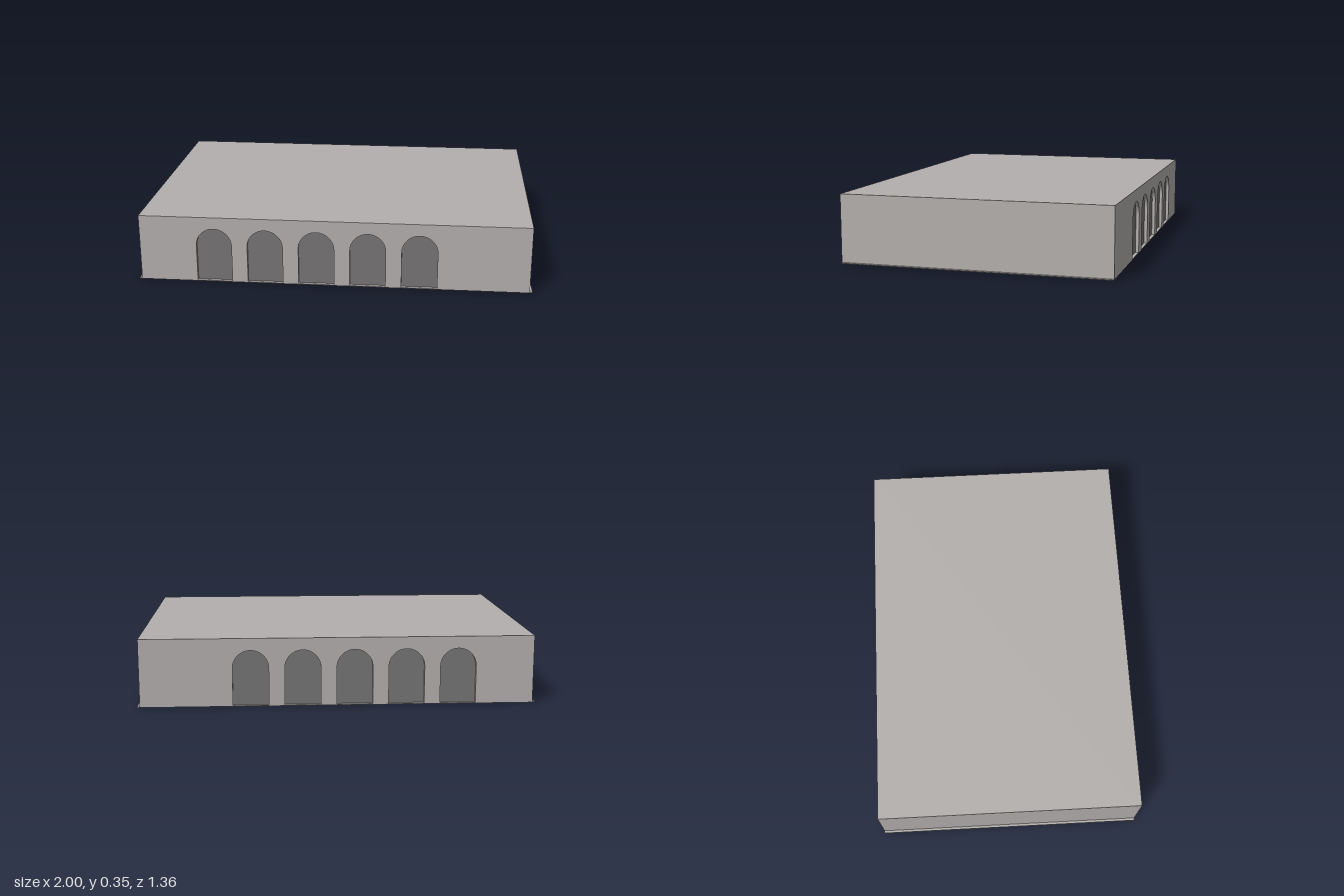
import * as THREE from 'three';

const HALF_X = 0.987, HALF_Z = 0.682, BOTTOM = 0.006, TOP = 0.348;
const RECESS = 0.02;
const ARCH_X = [-0.605, -0.345, -0.085, 0.175, 0.435];
const ARCH_R = 0.09, SPRING = 0.197;

const stone = new THREE.MeshStandardMaterial({ color: 0xb3afad });
stone.name = 'stone';
const shade = new THREE.MeshStandardMaterial({ color: 0x767474 });
shade.name = 'archInfill';
const earth = new THREE.MeshStandardMaterial({ color: 0x40352a });
earth.name = 'darkFloor';

function add(parent, name, geometry, material, x = 0, y = 0, z = 0) {
  const mesh = new THREE.Mesh(geometry, material);
  mesh.name = name;
  mesh.position.set(x, y, z);
  parent.add(mesh);
  return mesh;
}

// Wall outline with round-headed openings cut up from its lower edge
function facadeShape() {
  const s = new THREE.Shape();
  s.moveTo(-HALF_X, BOTTOM);
  for (const x of ARCH_X) {
    s.lineTo(x - ARCH_R, BOTTOM);
    s.lineTo(x - ARCH_R, SPRING);
    s.absarc(x, SPRING, ARCH_R, Math.PI, 0, true);
    s.lineTo(x + ARCH_R, BOTTOM);
  }
  s.lineTo(HALF_X, BOTTOM);
  s.lineTo(HALF_X, TOP);
  s.lineTo(-HALF_X, TOP);
  s.closePath();
  return s;
}

// Round-headed infill panel
function archShape() {
  const s = new THREE.Shape();
  s.moveTo(-ARCH_R, 0);
  s.lineTo(ARCH_R, 0);
  s.lineTo(ARCH_R, SPRING);
  s.absarc(0, SPRING, ARCH_R, 0, Math.PI, false);
  s.closePath();
  return s;
}

export function createModel() {
  const model = new THREE.Group();
  model.name = 'arcadedBuilding';

  // Main block between the two arcaded walls
  const innerZ = HALF_Z - RECESS;
  add(model, 'mainBlock', new THREE.BoxGeometry(HALF_X * 2, TOP - BOTTOM, innerZ * 2),
    stone, 0, (TOP + BOTTOM) / 2, 0);

  // Front and back arcades, with openings at the same x on both sides
  const wall = new THREE.ExtrudeGeometry(facadeShape(),
    { depth: RECESS, bevelEnabled: false, curveSegments: 16 });
  const panel = new THREE.ExtrudeGeometry(archShape(),
    { depth: 0.004, bevelEnabled: false, curveSegments: 16 });
  for (const side of [1, -1]) {
    const arcade = new THREE.Group();
    arcade.name = side > 0 ? 'frontArcade' : 'backArcade';
    add(arcade, 'arcadeWall', wall, stone, 0, 0, side > 0 ? innerZ : -HALF_Z);
    for (const x of ARCH_X) {
      add(arcade, 'archPanel', panel, shade, x, 0, side > 0 ? innerZ - 0.001 : -innerZ - 0.003);
    }
    model.add(arcade);
  }

  // Thin floor slab projecting at both ends, with a dark underside
  add(model, 'floorSlab', new THREE.BoxGeometry(2, 0.004, HALF_Z * 2), stone, 0, 0.005, 0);
  add(model, 'floorUnderside', new THREE.BoxGeometry(1.955, 0.003, 1.33), earth, 0, 0.0015, 0);

  return model;
}
